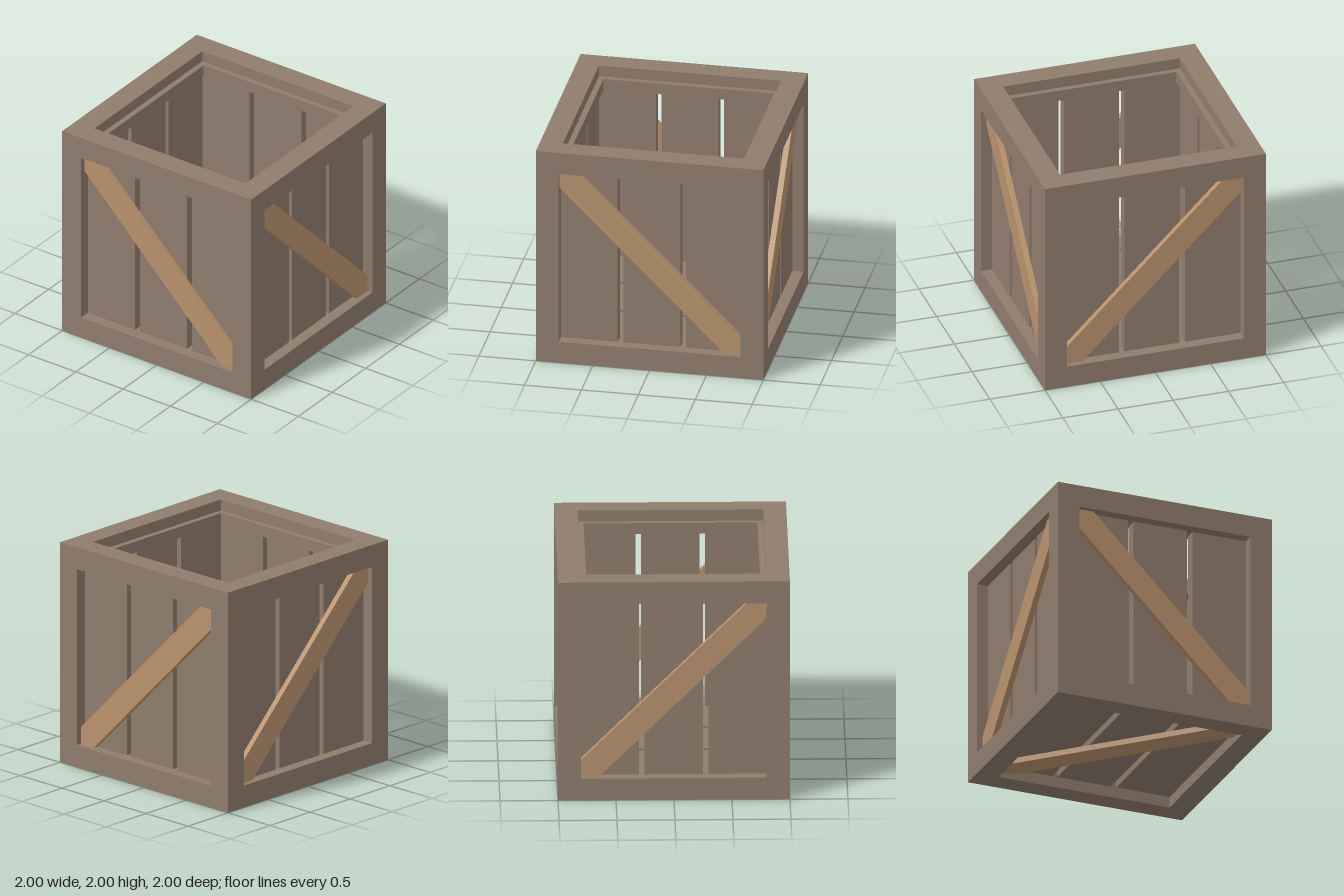
import * as THREE from 'three';

const frameWood = new THREE.MeshStandardMaterial({ color: 0x8f7c6c });
frameWood.name = 'weathered brown wood';
const braceWood = new THREE.MeshStandardMaterial({ color: 0xb8926d });
braceWood.name = 'light tan wood';

function box(parent, name, size, pos) {
  const mesh = new THREE.Mesh(new THREE.BoxGeometry(...size), frameWood);
  mesh.name = name;
  mesh.position.set(...pos);
  parent.add(mesh);
}

// Diagonal board with its ends trimmed to the corners of the frame opening
function makeBrace(side) {
  const a = 0.8, b = 0.645;
  const points = [[-a, a], [-a, b], [b, -a], [a, -a], [a, -b], [-b, a]];
  const shape = new THREE.Shape(points.map(([x, y]) => new THREE.Vector2(x * side, y)));
  const geometry = new THREE.ExtrudeGeometry(shape, { depth: 0.05, bevelEnabled: false });
  const mesh = new THREE.Mesh(geometry, braceWood);
  mesh.name = 'diagonalBrace';
  mesh.position.z = 0.9;
  return mesh;
}

// Three planks with gaps and a brace, facing +z around the crate's centre
function makePanel(name, braceSide) {
  const panel = new THREE.Group();
  panel.name = name;
  for (const x of [-0.55, 0, 0.55]) box(panel, 'plank', [0.5, 1.6, 0.1], [x, 0, 0.85]);
  panel.add(makeBrace(braceSide));
  return panel;
}

export function createModel() {
  const crate = new THREE.Group();
  crate.name = 'openCrate';

  // Outer frame: four posts, then rails between them at top and bottom
  const frame = new THREE.Group();
  frame.name = 'frame';
  crate.add(frame);
  for (const s of [-0.9, 0.9]) {
    for (const t of [-0.9, 0.9]) {
      box(frame, 'cornerPost', [0.2, 2, 0.2], [s, 1, t]);
      box(frame, 'crossRail', [1.6, 0.2, 0.2], [0, 1 + s, t]);
      box(frame, 'sideRail', [0.2, 0.2, 1.6], [t, 1 + s, 0]);
    }
  }

  // Narrow ledge inside the open top
  const ledge = new THREE.Group();
  ledge.name = 'innerLedge';
  crate.add(ledge);
  for (const s of [-0.775, 0.775]) {
    box(ledge, 'ledgeStrip', [1.6, 0.1, 0.05], [0, 1.85, s]);
    box(ledge, 'ledgeStrip', [0.05, 0.1, 1.5], [s, 1.85, 0]);
  }

  // Panels: name, brace direction, rotation about x and y
  const panels = [
    ['frontPanel', 1, 0, 0],
    ['backPanel', -1, 0, Math.PI],
    ['rightPanel', 1, 0, Math.PI / 2],
    ['leftPanel', -1, 0, -Math.PI / 2],
    ['floorPanel', -1, Math.PI / 2, 0],
  ];
  for (const [name, side, rx, ry] of panels) {
    const panel = makePanel(name, side);
    panel.position.y = 1;
    panel.rotation.set(rx, ry, 0);
    crate.add(panel);
  }
  return crate;
}
